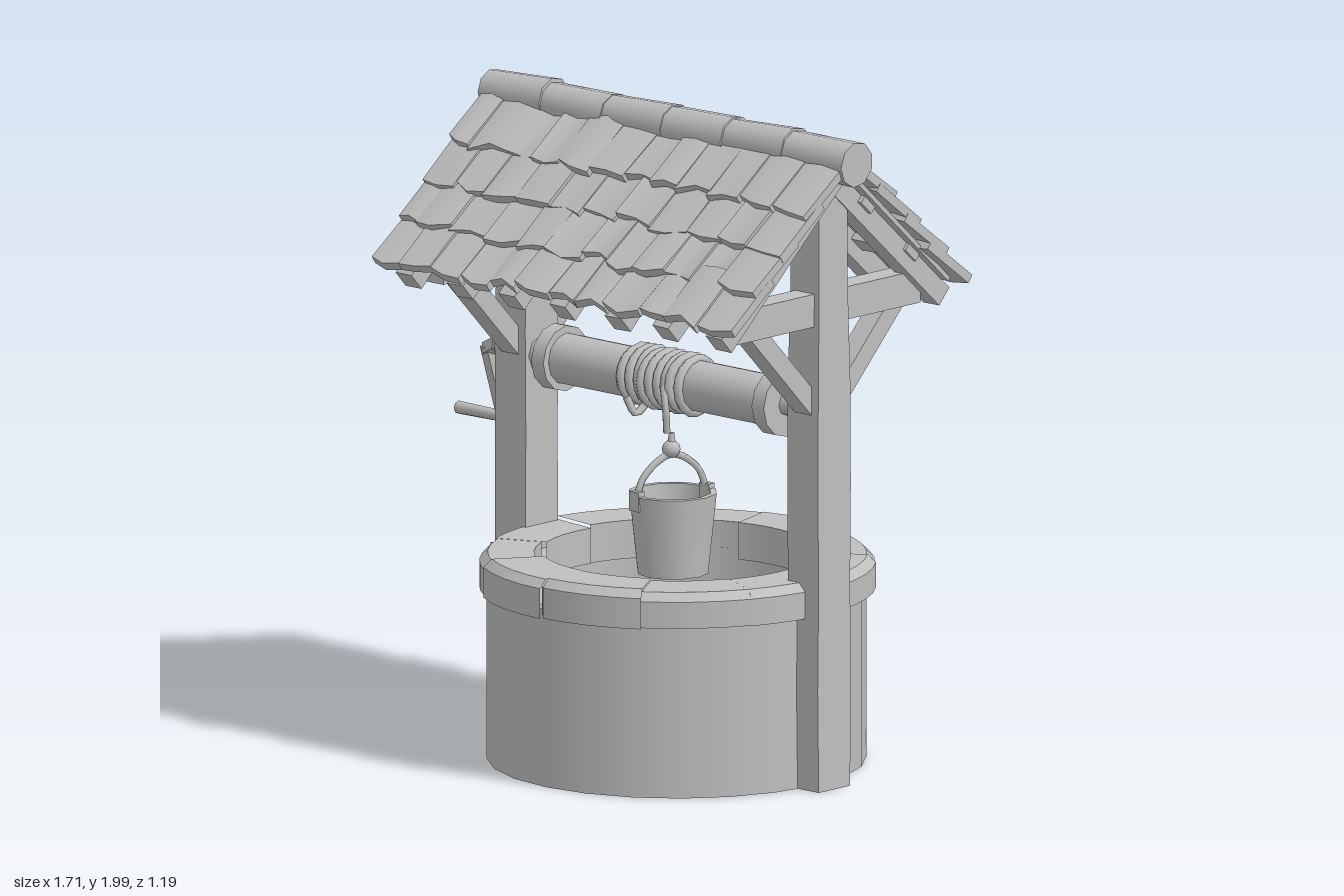
import * as THREE from 'three';

export function createModel() {
  const model = new THREE.Group();
  const grey = new THREE.MeshStandardMaterial({ color: 0xbfbfbf });
  grey.name = 'weathered grey';
  const CX = 0.13; // centre of the well shaft

  let seed = 7;
  const jit = (a) => {
    seed = (seed * 16807) % 2147483647;
    return (seed / 2147483647 - 0.5) * 2 * a;
  };
  const add = (name, geo, parent = model) => {
    const m = new THREE.Mesh(geo, grey);
    m.name = name;
    parent.add(m);
    return m;
  };
  const box = (name, w, h, d, x, y, z, parent) => {
    const m = add(name, new THREE.BoxGeometry(w, h, d), parent);
    m.position.set(x, y, z);
    return m;
  };
  // cylinder lying along x
  const barX = (name, x0, x1, r, y, z, sides = 10, r2 = r) => {
    const m = add(name, new THREE.CylinderGeometry(r2, r, x1 - x0, sides));
    m.rotation.z = -Math.PI / 2;
    m.position.set((x0 + x1) / 2, y, z);
    return m;
  };
  // closed ring from outer and inner radius and heights, sharp at its corners
  const ring = (ro, ri, y0, y1, bevel, sides, start = 0, sweep = Math.PI * 2) => {
    const p = [[ri, y0], [ro, y0], [ro, y0], [ro, y1 - bevel], [ro, y1 - bevel],
      [ro - bevel, y1], [ro - bevel, y1], [ri, y1], [ri, y1], [ri, y0]];
    return new THREE.LatheGeometry(p.map((q) => new THREE.Vector2(q[0], q[1])), sides, start, sweep);
  };

  // Stone shaft, open at both ends
  const wall = add('wellWall', ring(0.565, 0.42, 0.01, 0.56, 0.01, 24));
  wall.position.x = CX;

  // Rim of separate curved stones
  const stones = 11;
  for (let i = 0; i < stones; i++) {
    const sweep = (Math.PI * 2) / stones;
    const ro = 0.588 + jit(0.008), y1 = 0.638 + jit(0.008);
    const stone = add('rimStone', ring(ro, 0.415 + jit(0.01), 0.53 + jit(0.006), y1, 0.025, 4, i * sweep, sweep));
    stone.position.x = CX;
    // end caps where neighbouring stones differ in size
    for (const a of [i * sweep, (i + 1) * sweep]) {
      const cap = box('rimStoneEnd', 0.004, 0.085, ro - 0.45, CX + Math.sin(a) * (ro + 0.43) / 2,
        0.58, Math.cos(a) * (ro + 0.43) / 2);
      cap.rotation.y = a;
    }
  }

  // Posts, tie beams and diagonal braces, one frame per side
  for (const x of [-0.485, 0.71]) {
    const g = new THREE.BoxGeometry(0.125, 1.84, 0.14, 1, 6, 1);
    const p = g.attributes.position;
    for (let i = 0; i < p.count; i++) {
      const y = p.getY(i);
      const k = y > 0.5 ? 0.88 : 1 + 0.03 * Math.sin(y * 9 + x);
      p.setXYZ(i, p.getX(i) * (y > 0.5 ? 0.94 : 1), y, p.getZ(i) * k);
    }
    g.computeVertexNormals();
    add('post', g).position.set(x, 0.93, -0.002);
    box('tieBeam', 0.08, 0.1, 0.8, x, 1.475, 0);
    for (const s of [-1, 1]) {
      const brace = box('brace', 0.07, 0.38, 0.06, x, 1.31, s * 0.175);
      brace.rotation.x = s * 0.77;
    }
  }

  // One shingle: a slightly buckled plate with an uneven lower edge
  const shingle = (w, len) => {
    const g = new THREE.BoxGeometry(w, 0.028, len, 2, 1, 2);
    const p = g.attributes.position;
    const lift = jit(0.012), drop = jit(0.022), skew = jit(0.012);
    for (let i = 0; i < p.count; i++) {
      const x = p.getX(i), z = p.getZ(i), mid = Math.abs(x) < 0.001;
      const low = z > len / 4 ? 1 : 0;
      p.setY(i, p.getY(i) + (mid ? lift : 0));
      p.setZ(i, z + low * ((mid ? drop : 0) + skew * Math.sign(x)));
    }
    g.computeVertexNormals();
    return g;
  };

  // Two mirrored roof slopes; local z runs down the slope, y points outward
  const PITCH = 0.742, X0 = -0.62, X1 = 0.84, RC = (X0 + X1) / 2, W = X1 - X0;
  for (const side of [0, 1]) {
    const half = new THREE.Group();
    half.name = side ? 'backRoof' : 'frontRoof';
    half.position.set(RC, 1.985, 0);
    half.rotation.y = side * Math.PI;
    model.add(half);
    const slope = new THREE.Group();
    slope.name = 'roofSlope';
    slope.rotation.x = PITCH;
    half.add(slope);

    box('roofDeck', W - 0.06, 0.014, 0.6, 0, -0.05, 0.37, slope);
    for (let i = 0; i < 7; i++) {
      const x = -0.635 + i * 0.2117;
      box('rafter', 0.065, 0.065, 0.66, x, -0.088, 0.385, slope).rotation.y = jit(0.03);
    }
    for (const z of [0.24, 0.5]) box('purlin', W - 0.1, 0.03, 0.06, 0, -0.066, z, slope);

    for (let row = 0; row < 4; row++) {
      const butt = 0.715 - row * 0.15;
      let x = -W / 2;
      let first = true;
      while (x < W / 2 - 0.01) {
        let w = 0.125 + jit(0.025);
        if (first && row % 2) w *= 0.6;
        if (W / 2 - x - w < 0.06) w = W / 2 - x;
        first = false;
        const len = 0.22;
        const tile = add('shingle', shingle(w + 0.004, len), slope);
        tile.position.set(x + w / 2, -0.024 + jit(0.007), butt - len / 2 + jit(0.008));
        tile.rotation.set(-0.11 + jit(0.025), jit(0.03), jit(0.035));
        x += w;
      }
    }
  }

  // Ridge caps laid end to end
  for (let i = 0; i < 6; i++) {
    const x = -0.635 + i * 0.247;
    const cap = barX('ridgeCap', x, x + 0.255, 0.066 + jit(0.004), 1.926 + jit(0.004), -0.012, 9, 0.069);
    cap.rotation.z += jit(0.02);
  }

  // Windlass: axle, drum, end discs and wound rope
  const AY = 1.155;
  barX('axle', -0.58, 0.69, 0.035, AY, 0, 8);
  barX('drum', -0.34, 0.56, 0.078, AY, 0, 12);
  for (const x of [-0.37, 0.53]) barX('drumDisc', x, x + 0.05, 0.1, AY, 0, 12);
  barX('axleBearing', -0.565, -0.41, 0.055, AY, 0, 8);
  for (let i = 0; i < 9; i++) {
    const coil = add('ropeCoil', new THREE.TorusGeometry(0.08, 0.016, 6, 16));
    coil.position.set(-0.02 + i * 0.029, AY + jit(0.003), jit(0.003));
    coil.rotation.y = Math.PI / 2 + jit(0.12);
  }
  const V = (x, y, z) => new THREE.Vector3(x, y, z);
  const tube = (name, pts, r, seg = 16) =>
    add(name, new THREE.TubeGeometry(new THREE.CatmullRomCurve3(pts), seg, r, 6));
  tube('ropeEnd', [V(0.16, 1.16, 0.09), V(0.18, 1.09, 0.1), V(0.175, 1.02, 0.09)], 0.011, 8);
  tube('ropeLoop', [V(0.0, 1.1, 0.08), V(0.02, 1.05, 0.06), V(0.03, 1.08, 0.02)], 0.012, 8);

  // Crank on the right-hand post
  const link = (name, a, b, w) => {
    const m = box(name, w, a.distanceTo(b) + w * 0.6, w, 0, 0, 0);
    m.position.copy(a).add(b).multiplyScalar(0.5);
    m.quaternion.setFromUnitVectors(V(0, 1, 0), b.clone().sub(a).normalize());
  };
  const knee = V(-0.675, 1.125, -0.04), elbow = V(-0.67, 0.92, -0.1);
  link('crankShaft', V(-0.54, 1.155, -0.01), V(-0.61, 1.155, -0.02), 0.04);
  link('crankShoulder', V(-0.61, 1.155, -0.02), knee, 0.035);
  link('crankArm', knee, elbow, 0.035);
  barX('crankHandle', -0.855, -0.65, 0.02, 0.908, -0.1, 8, 0.017);

  // Hollow bucket with bail handle and knot
  const profile = [[0, 0.57], [0.108, 0.57], [0.108, 0.57], [0.134, 0.815], [0.134, 0.815],
    [0.115, 0.815], [0.115, 0.815], [0.095, 0.6], [0.095, 0.6], [0, 0.6]];
  const bucket = add('bucket', new THREE.LatheGeometry(profile.map((q) => new THREE.Vector2(q[0], q[1])), 12));
  bucket.position.set(0.11, 0, -0.005);
  tube('bucketHandle', [V(0.07, 0.79, 0.115), V(0.078, 0.87, 0.085), V(0.108, 0.93, 0),
    V(0.135, 0.88, -0.085), V(0.145, 0.79, -0.12)], 0.011, 20);
  for (const s of [-1, 1]) box('handleLug', 0.04, 0.06, 0.025, 0.11 - s * 0.035, 0.8, s * 0.115);
  const knot = add('ropeKnot', new THREE.SphereGeometry(0.028, 8, 6));
  knot.position.set(0.108, 0.945, 0);
  const tip = add('ropeTip', new THREE.CylinderGeometry(0.008, 0.014, 0.04, 6));
  tip.position.set(0.11, 0.975, 0);

  return model;
}
